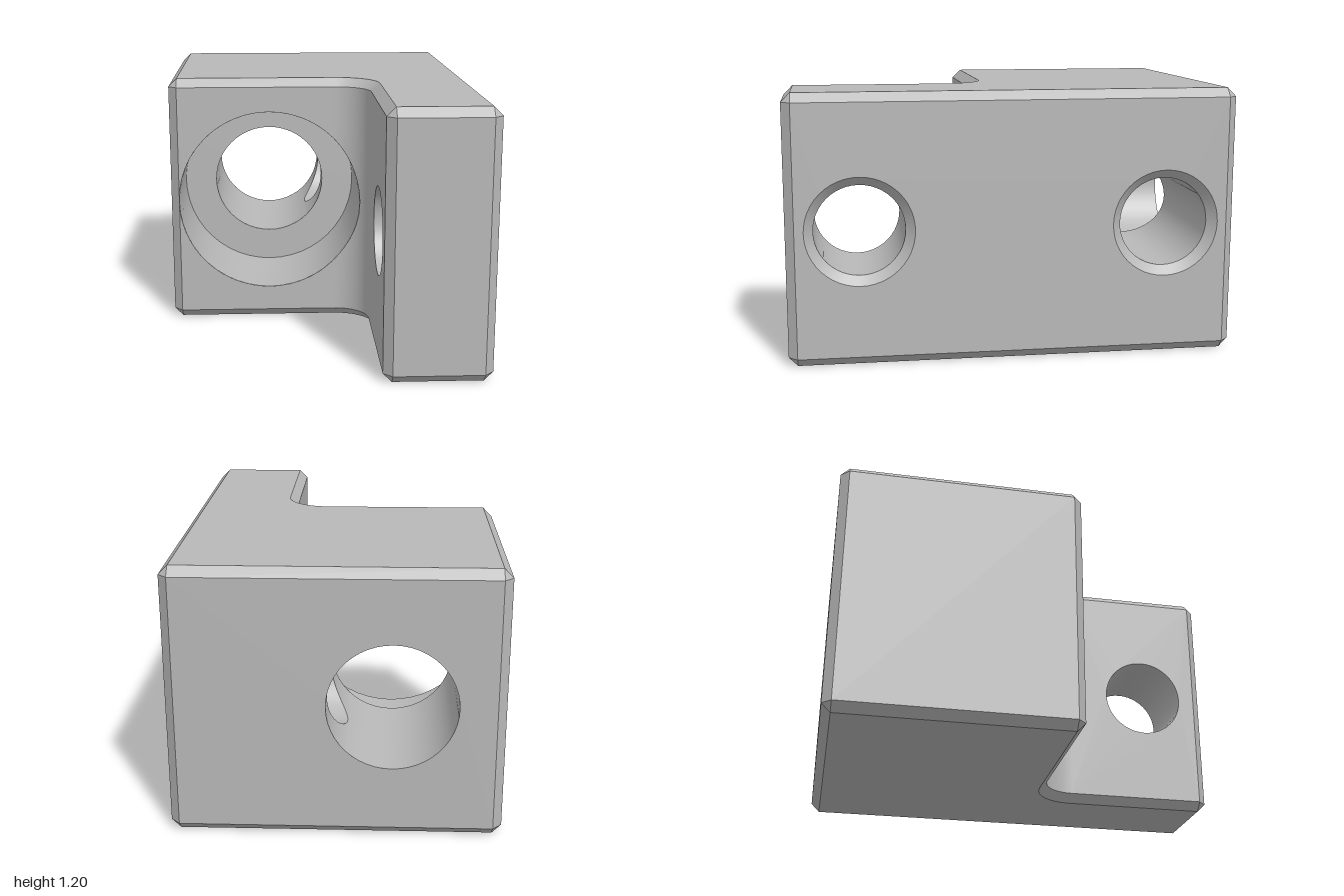
import * as THREE from 'three';
import { toCreasedNormals } from 'three/addons/utils/BufferGeometryUtils.js';

const C = 0.04, H = 1.2, MID = 0.6;          // chamfer, height, hole height
const BX = -0.24, BORE = 0.28, CB = 0.44;    // main bore centre x, bore and counterbore radii
const STEP_Z = -0.36, BOLT = 0.2, ZS = [0.68, -0.68]; // shoulder depth, side hole radius and centres
const N = 48;

const range = (n, a, b) => Array.from({ length: n + 1 }, (_, i) => a + (b - a) * i / n);

// Surface spanned between two matching rows of points; faces (b - a) x (row direction)
function ribbon(rowA, rowB) {
  const pos = [], idx = [];
  rowA.forEach((a, i) => {
    pos.push(...a, ...rowB[i]);
    if (i) idx.push(2 * i - 2, 2 * i - 1, 2 * i, 2 * i - 1, 2 * i + 1, 2 * i);
  });
  const g = new THREE.BufferGeometry();
  g.setAttribute('position', new THREE.Float32BufferAttribute(pos, 3));
  g.setIndex(idx);
  return toCreasedNormals(g, 0.6);
}

// Flat rectangular wall with round holes [u, radius]
function panel(u0, u1, holes) {
  const s = new THREE.Shape([[u0, C], [u1, C], [u1, H - C], [u0, H - C]].map(p => new THREE.Vector2(...p)));
  for (const [u, r] of holes) s.holes.push(new THREE.Path().absarc(u, MID, r, 0, Math.PI * 2, true));
  return new THREE.ShapeGeometry(s, N / 2);
}

// Depth of the front wall, including the concave fillet
const frontZ = x => x <= 0.08 ? 0.12 : 0.28 - Math.sqrt(Math.max(0, 0.0256 - (x - 0.08) ** 2));

export function createModel() {
  const group = new THREE.Group();
  group.name = 'bracket';
  const steel = new THREE.MeshStandardMaterial({ color: 0xb8b8b8, side: THREE.DoubleSide });
  steel.name = 'grey steel';
  const add = (name, geo) => {
    const m = new THREE.Mesh(geo, steel);
    m.name = name;
    group.add(m);
    return m;
  };

  // L-shaped outline [x, z] and the same loop inset by the chamfer
  const fillet = range(16, 0, Math.PI / 2);
  const arc = r => fillet.map(a => [0.08 + r * Math.cos(a), 0.28 - r * Math.sin(a)]);
  const outer = [[0.68, -1], [0.72, -0.96], [0.72, 0.96], [0.68, 1], [0.28, 1], [0.24, 0.96],
    ...arc(0.16), [-0.68, 0.12], [-0.72, 0.08], [-0.72, -0.96], [-0.68, -1]];
  const inset = [[0.68, -0.96], [0.68, -0.96], [0.68, 0.96], [0.68, 0.96], [0.28, 0.96], [0.28, 0.96],
    ...arc(0.2), [-0.68, 0.08], [-0.68, 0.08], [-0.68, -0.96], [-0.68, -0.96]];
  const at = (loop, y) => loop.map(([x, z]) => [x, y, z]);
  const ring = (loop, y) => at([...loop, loop[0]], y);

  // Top and bottom faces with their chamfered rims
  const corners = inset.filter((p, i) => !i || p[0] !== inset[i - 1][0] || p[1] !== inset[i - 1][1]);
  const cap = s => new THREE.ShapeGeometry(new THREE.Shape(corners.map(([x, z]) => new THREE.Vector2(x, s * z))));
  add('topFace', cap(-1).rotateX(-Math.PI / 2).translate(0, H, 0));
  add('bottomFace', cap(1).rotateX(Math.PI / 2));
  add('topChamfer', ribbon(ring(outer, H - C), ring(inset, H)));
  add('bottomChamfer', ribbon(ring(inset, 0), ring(outer, C)));

  // Plain walls and vertical chamfers
  const wall = (name, pts) => add(name, ribbon(at(pts, C), at(pts, H - C)));
  wall('backCornerChamfer', outer.slice(0, 2));
  wall('flangeEnd', outer.slice(2, 6));
  wall('blockSide', outer.slice(-4));

  // Flat walls pierced by holes
  add('backWall', panel(-0.68, 0.68, [[-BX, BORE]]).rotateY(Math.PI).translate(0, 0, -1));
  add('outerSideWall', panel(-0.96, 0.96, ZS.map(z => [-z, BOLT + C])).rotateY(Math.PI / 2).translate(0.72, 0, 0));
  add('flangeInnerWall', panel(0.28, 0.96, [[ZS[0], BOLT]]).rotateY(-Math.PI / 2).translate(0.24, 0, 0));

  // Front wall running into the fillet, cut away around the counterbore
  const xs = [...range(N, 0, Math.PI).map(t => BX - CB * Math.cos(t)),
    ...range(10, Math.asin(0.75), Math.PI / 2).map(a => 0.08 + 0.16 * Math.sin(a))];
  const half = x => Math.sqrt(Math.max(0, CB * CB - (x - BX) ** 2));
  const row = y => xs.map(x => [x, y(x), frontZ(x)]);
  add('frontWallUpper', ribbon(row(() => H - C), row(x => MID + half(x))));
  add('frontWallLower', ribbon(row(x => MID - half(x)), row(() => C)));

  // Counterbore, shoulder and main bore
  const turn = range(N, 0, Math.PI * 2);
  const circle = (r, angles, z) => angles.map(a => {
    const x = BX + r * Math.cos(a);
    return [x, MID + r * Math.sin(a), z(x, r * Math.sin(a))];
  });
  const shoulder = () => STEP_Z, back = () => -1;
  add('counterbore', ribbon(circle(CB, turn, shoulder), circle(CB, turn, x => frontZ(x))));
  add('shoulder', ribbon(circle(BORE, turn, shoulder), circle(CB, turn, shoulder)));
  const open = Math.asin(BOLT / BORE);
  const solid = range(36, open, Math.PI * 2 - open);
  const pierced = range(24, -Math.PI / 2, Math.PI / 2).map(t => Math.asin(BOLT / BORE * Math.sin(t)));
  const gap = dy => Math.sqrt(Math.max(0, BOLT * BOLT - dy * dy));
  add('bore', ribbon(circle(BORE, solid, back), circle(BORE, solid, shoulder)));
  add('boreBehindSideHole', ribbon(circle(BORE, pierced, back), circle(BORE, pierced, (x, dy) => ZS[1] - gap(dy))));
  add('boreBeforeSideHole', ribbon(circle(BORE, pierced, (x, dy) => ZS[1] + gap(dy)), circle(BORE, pierced, shoulder)));

  // Side holes with countersinks: one through the flange, one into the bore
  ZS.forEach((zc, i) => {
    const round = (r, x) => turn.map(t => [x(r * Math.sin(t)), MID + r * Math.sin(t), zc + r * Math.cos(t)]);
    const end = i ? dy => BX + Math.sqrt(BORE * BORE - dy * dy) : () => 0.24;
    const name = i ? 'rearSideHole' : 'flangeHole';
    add(name + 'Countersink', ribbon(round(BOLT + C, () => 0.72), round(BOLT, () => 0.72 - C)));
    add(name, ribbon(round(BOLT, () => 0.72 - C), round(BOLT, end)));
  });
  return group;
}
